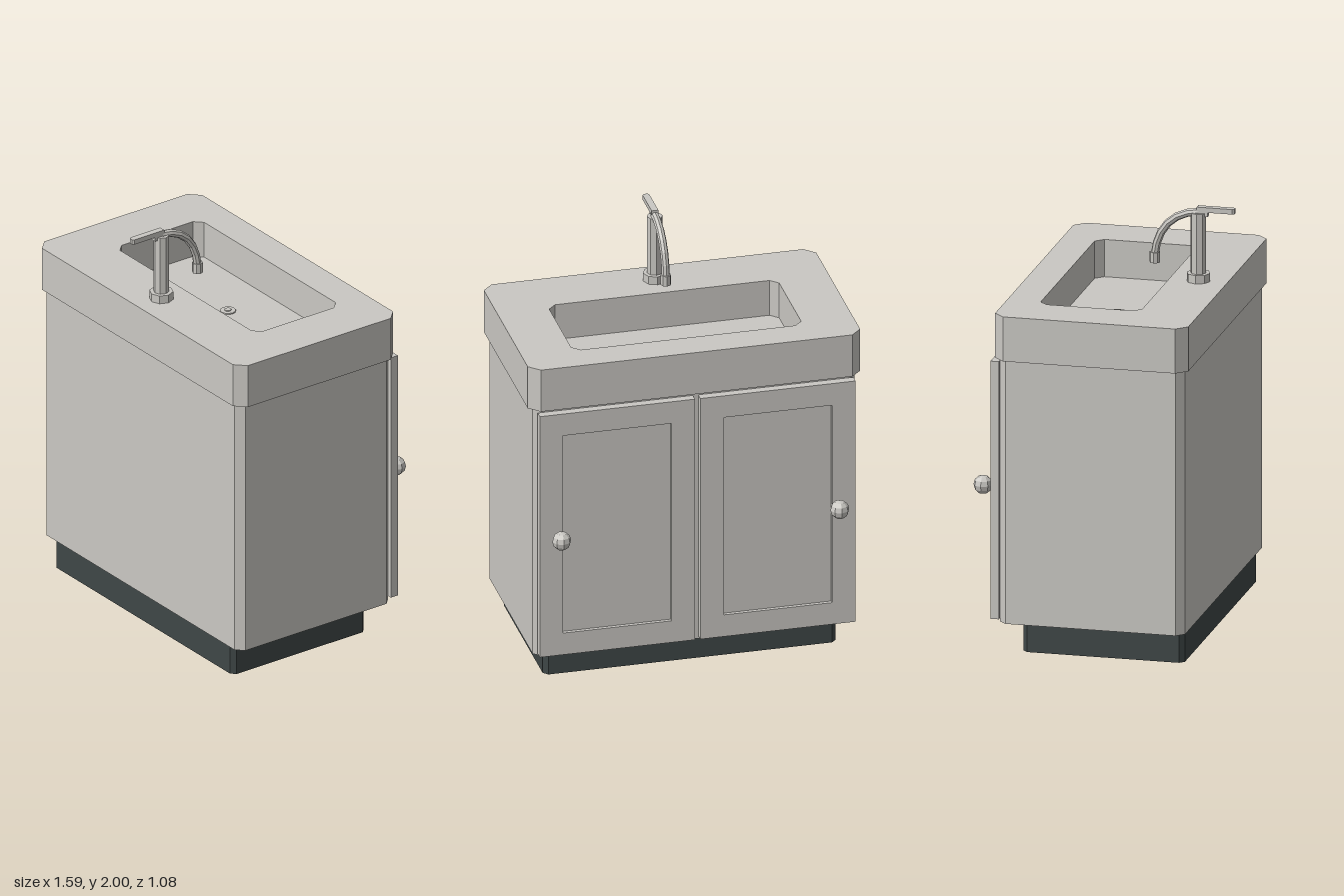
import * as THREE from 'three';

const stone = new THREE.MeshStandardMaterial({ color: 0xcac8c3, flatShading: true });
stone.name = 'warm light grey';
const dark = new THREE.MeshStandardMaterial({ color: 0x3f4747, flatShading: true });
dark.name = 'dark slate';

function add(parent, name, geometry, material, x = 0, y = 0, z = 0) {
  const mesh = new THREE.Mesh(geometry, material);
  mesh.name = name;
  mesh.position.set(x, y, z);
  parent.add(mesh);
  return mesh;
}

// Rectangle with cut corners
function cutRect(x0, x1, y0, y1, c, Type = THREE.Shape) {
  const corners = [
    [x0 + c, y0], [x1 - c, y0], [x1, y0 + c], [x1, y1 - c],
    [x1 - c, y1], [x0 + c, y1], [x0, y1 - c], [x0, y0 + c],
  ];
  return new Type(corners.map(([x, y]) => new THREE.Vector2(x, y)));
}

// Plan outline, symmetric in x, from zBack to zFront
const plan = (halfX, zBack, zFront, c, Type) => cutRect(-halfX, halfX, -zFront, -zBack, c, Type);

// Raise a plan outline upward
const raise = (shape, height) =>
  new THREE.ExtrudeGeometry(shape, { depth: height, bevelEnabled: false }).rotateX(-Math.PI / 2);

function makeDoor(side) {
  const door = new THREE.Group();
  door.name = side > 0 ? 'leftDoor' : 'rightDoor';
  const w = 0.742, h = 1.245, frame = 0.112;

  // Frame around a recessed panel
  const outline = cutRect(-w / 2, w / 2, -h / 2, h / 2, 0);
  outline.holes.push(cutRect(-w / 2 + frame, w / 2 - frame, -h / 2 + frame, h / 2 - frame, 0, THREE.Path));
  add(door, 'doorFrame', new THREE.ExtrudeGeometry(outline, { depth: 0.04, bevelEnabled: false }), stone, 0, 0, -0.04);
  add(door, 'doorPanel', new THREE.BoxGeometry(w - 2 * frame, h - 2 * frame, 0.022), stone, 0, 0, -0.011);

  // Faceted knob on the outer frame
  const knobX = side * 0.281;
  add(door, 'knobStem', new THREE.CylinderGeometry(0.014, 0.014, 0.04, 8).rotateX(Math.PI / 2), stone, knobX, -0.003, -0.055);
  add(door, 'knob', new THREE.SphereGeometry(0.045, 8, 6), stone, knobX, -0.003, -0.098);

  door.position.set(side * 0.384, 0.7875, -0.4);
  return door;
}

function makeTap() {
  const tap = new THREE.Group();
  tap.name = 'tap';
  add(tap, 'tapBase', new THREE.CylinderGeometry(0.056, 0.056, 0.04, 8), stone, 0, 1.66, 0.365);
  add(tap, 'tapColumn', new THREE.CylinderGeometry(0.037, 0.037, 0.29, 8), stone, 0, 1.825, 0.365);

  // Arched spout and its nozzle
  const path = new THREE.CatmullRomCurve3([
    [0.37, 1.973], [0.29, 1.958], [0.215, 1.905], [0.172, 1.83], [0.157, 1.755],
  ].map(([z, y]) => new THREE.Vector3(0, y, z)));
  add(tap, 'spout', new THREE.TubeGeometry(path, 6, 0.019, 8), stone);
  add(tap, 'nozzle', new THREE.CylinderGeometry(0.025, 0.025, 0.05, 8), stone, 0, 1.741, 0.157);

  // Flat lever with a blunted tip
  const lever = new THREE.Shape([
    [-0.016, -0.36], [0.016, -0.36], [0.016, -0.53], [0.009, -0.54], [-0.009, -0.54], [-0.016, -0.53],
  ].map(([x, y]) => new THREE.Vector2(x, y)));
  add(tap, 'lever', raise(lever, 0.024), stone, 0, 1.976, 0);
  add(tap, 'leverNeck', new THREE.BoxGeometry(0.028, 0.03, 0.06), stone, 0, 1.97, 0.382);
  return tap;
}

export function createModel() {
  const model = new THREE.Group();
  model.name = 'washstand';

  // Recessed plinth and cabinet
  add(model, 'plinth', raise(plan(0.7, -0.3, 0.47, 0.022), 0.15), dark);
  add(model, 'cabinet', raise(plan(0.77, -0.4, 0.485, 0.036), 1.275), stone, 0, 0.15, 0);

  // Counter with an open basin
  const counter = plan(0.795, -0.42, 0.503, 0.05);
  counter.holes.push(plan(0.55, -0.26, 0.225, 0.037, THREE.Path));
  add(model, 'counter', raise(counter, 0.215), stone, 0, 1.425, 0);
  add(model, 'basinFloor', raise(plan(0.55, -0.26, 0.225, 0.037), 0.035), stone, 0, 1.425, 0);

  // Drain ring and plug
  add(model, 'drainRing', new THREE.CylinderGeometry(0.037, 0.037, 0.006, 12), stone, 0, 1.463, -0.018);
  add(model, 'drainPlug', new THREE.CylinderGeometry(0.016, 0.016, 0.004, 12), stone, 0, 1.468, -0.018);

  model.add(makeDoor(1), makeDoor(-1), makeTap());
  return model;
}
